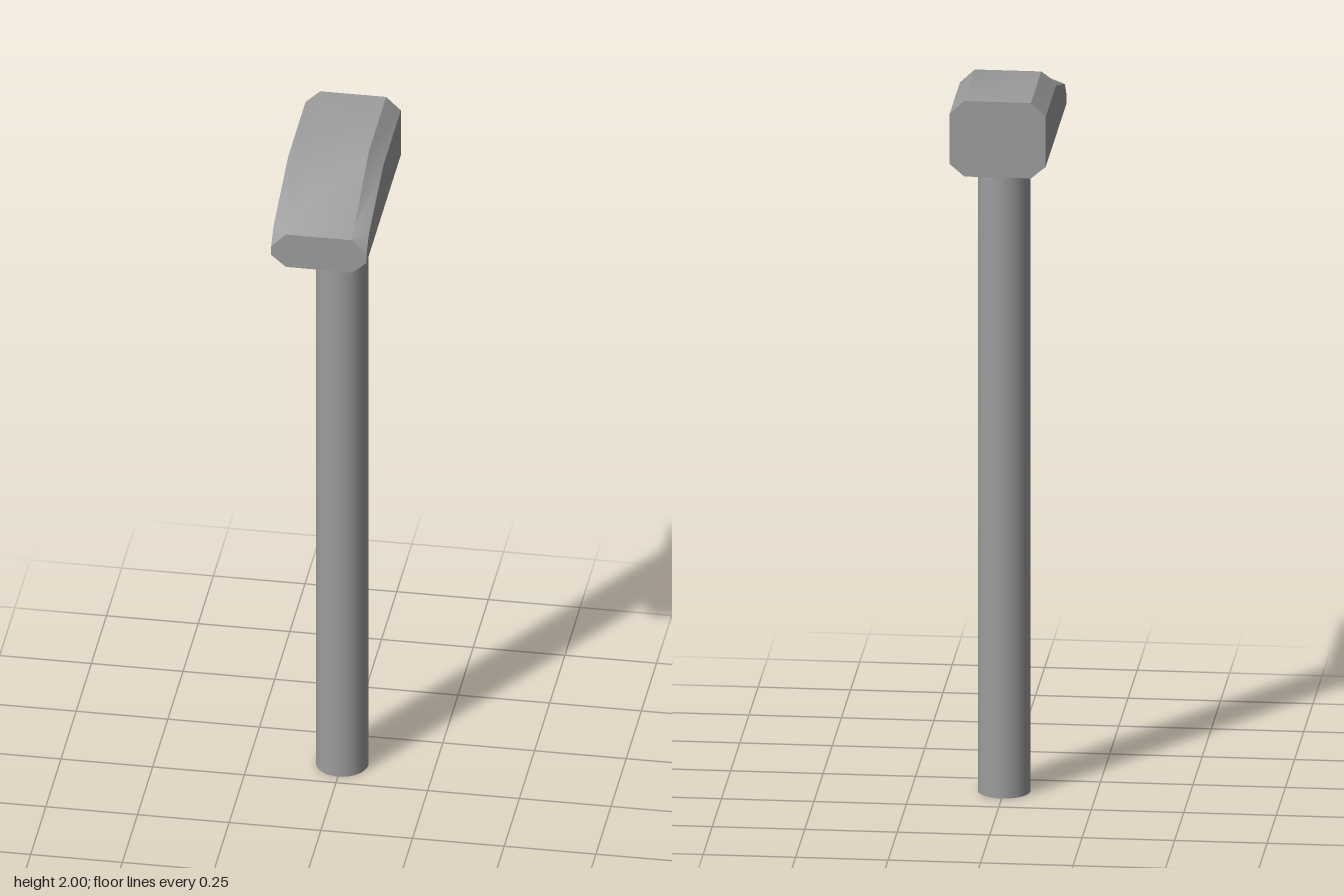
import * as THREE from 'three';
import { toCreasedNormals } from 'three/addons/utils/BufferGeometryUtils.js';

// Eight-sided chamfered cross-section, counter-clockwise seen from the front
function section(z, top, shoulder) {
  const w = 0.13, f = 0.09, bottom = 1.787, hip = 1.821;
  return [
    [f, bottom], [w, hip], [w, shoulder], [f, top],
    [-f, top], [-w, shoulder], [-w, hip], [-f, bottom],
  ].map(([x, y]) => new THREE.Vector3(x, y, z));
}

// Joins cross-sections from back to front and caps both ends
function loft(rings) {
  const pos = [];
  const tri = (...corners) => corners.forEach((p) => pos.push(p.x, p.y, p.z));
  const n = rings[0].length;
  for (let r = 0; r < rings.length - 1; r++) {
    const back = rings[r], front = rings[r + 1];
    for (let i = 0; i < n; i++) {
      const j = (i + 1) % n;
      // Diagonals are mirrored so both sides match
      if (i < n / 2) {
        tri(back[i], back[j], front[j]);
        tri(back[i], front[j], front[i]);
      } else {
        tri(back[i], back[j], front[i]);
        tri(back[j], front[j], front[i]);
      }
    }
  }
  const first = rings[0], last = rings[rings.length - 1];
  for (let i = 1; i < n - 1; i++) {
    tri(last[0], last[i], last[i + 1]);
    tri(first[0], first[i + 1], first[i]);
  }
  const geo = new THREE.BufferGeometry();
  geo.setAttribute('position', new THREE.Float32BufferAttribute(pos, 3));
  return toCreasedNormals(geo, 0.6);
}

export function createModel() {
  const model = new THREE.Group();
  model.name = 'hammer';
  const material = new THREE.MeshStandardMaterial({ color: 0x9d9d9d });

  // Round straight handle, set behind the middle of the head
  const handle = new THREE.Mesh(new THREE.CylinderGeometry(0.071, 0.071, 1.8, 32), material);
  handle.name = 'handle';
  handle.position.set(0, 0.9, -0.103);
  model.add(handle);

  // Chamfered head: square striking end at the back, sloping wedge at the front
  const head = new THREE.Mesh(
    loft([
      section(-0.283, 2, 1.962),
      section(0, 2, 1.962),
      section(0.24, 1.906, 1.89),
      section(0.283, 1.889, 1.848),
    ]),
    material
  );
  head.name = 'head';
  model.add(head);

  return model;
}
